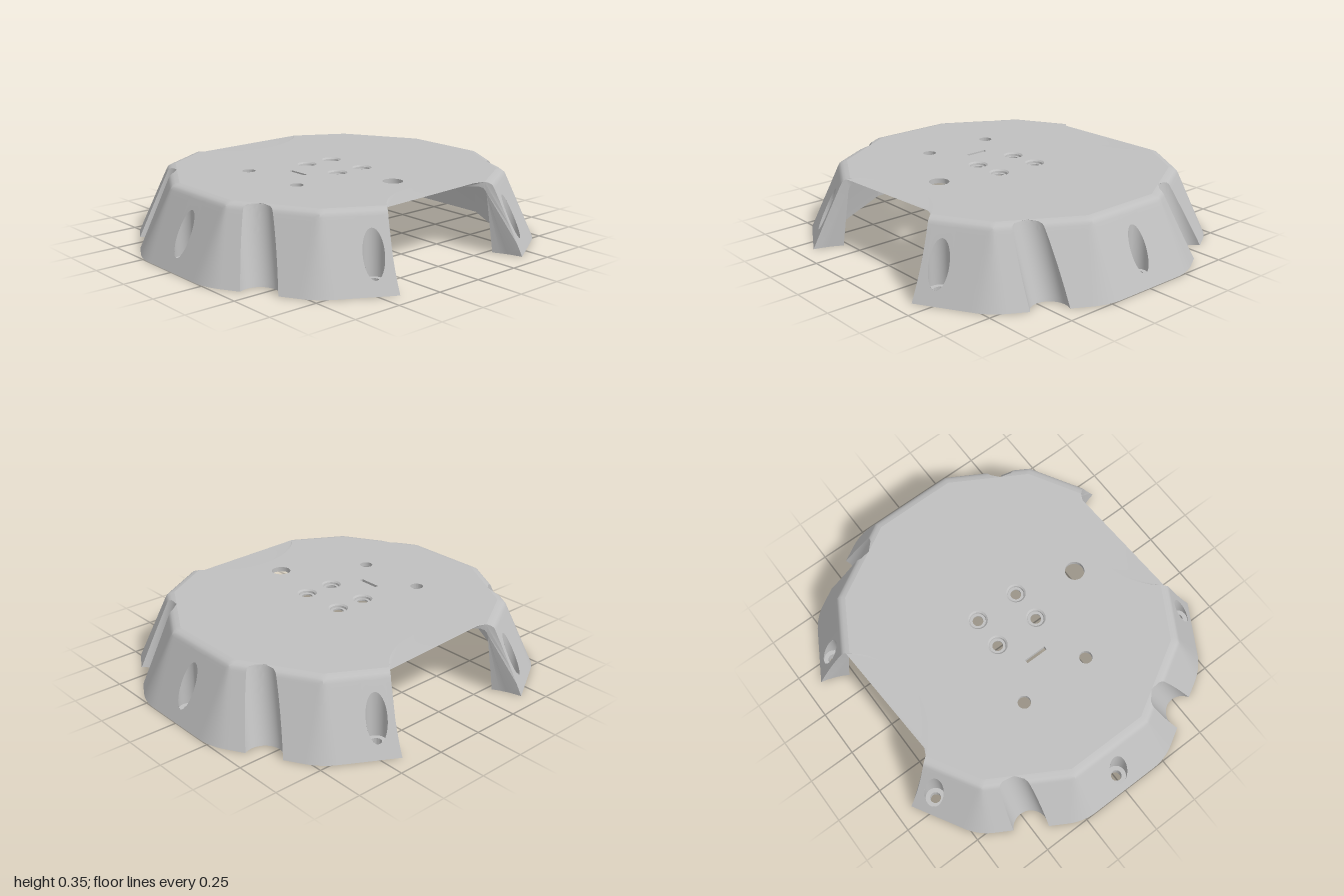
import * as THREE from 'three';
import { mergeGeometries, toCreasedNormals } from 'three/addons/utils/BufferGeometryUtils.js';

const DEG = Math.PI / 180, T15 = Math.tan(15 * DEG);
const TOP = 0.355, CEIL = 0.33, RIM = 0.325;      // plate top, cavity ceiling, fillet start
const SLOPE = (1 - 0.847) / RIM;                  // inward lean of the skirt
const CUT = 0.42;                                 // radius of the big end cut-outs, centred on z = +-1
const PANEL = 0.058;                              // half width of the flat strips round the screws
const SCREW = { r: 0.05, hole: 0.027, dist: 0.92, floor: 0.05 };

// Profiles: [height, apothem of the twelve-sided outline, corner radius]
const outer = [];
for (let i = 0; i <= 16; i++) outer.push([RIM * i / 16, 1 - SLOPE * RIM * i / 16]);
outer.push([0.338, 0.84], [0.345, 0.832], [0.351, 0.819], [TOP, 0.80]);
outer.forEach(p => p.push(0.3 * (1 - p[0] / TOP)));
const inner = [[0, 0.85, 0], [0.29, 0.812, 0], [0.31, 0.806, 0], [0.323, 0.795, 0], [CEIL, 0.775, 0]];

// Plan radius of a rounded dodecagon at an angle
function radius(t, [, a, rho]) {
  const d = Math.abs(t - Math.round(t / (30 * DEG)) * 30 * DEG);
  if (rho < 1e-4 || d <= Math.atan((a - rho) * T15 / a)) return a / Math.cos(d);
  const psi = 15 * DEG - d, D = (a - rho) / Math.cos(15 * DEG);
  return D * Math.cos(psi) + Math.sqrt(rho * rho - (D * Math.sin(psi)) ** 2);
}
const at = (t, r, y) => new THREE.Vector3(r * Math.cos(t), y, r * Math.sin(t));
const onWall = (t, p) => at(t, radius(t, p), p[0]);

function bisect(lo, hi, test) {                   // test holds at lo and fails at hi
  for (let i = 0; i < 40; i++) { const m = (lo + hi) / 2; if (test(m)) lo = m; else hi = m; }
  return lo;
}
// Angle at which the skirt meets an end cut-out
const endAngle = p => bisect(45 * DEG, 85 * DEG, t => {
  const v = onWall(t, p);
  return Math.hypot(v.x, v.z - 1) > CUT;
});

// Leaning scoop in the skirt: returns its edges and points at one height
function scoop(base, p) {
  const y = p[0], r = 0.09, d = 1 - 0.3 * y, c = base + 0.2 * y / d;
  const near = t => d * Math.cos(t - c) - Math.sqrt(Math.max(0, r * r - (d * Math.sin(t - c)) ** 2));
  const edge = s => c + s * bisect(0, Math.asin(r / d), h => near(c + s * h) < radius(c + s * h, p));
  const lo = edge(-1), hi = edge(1), pts = [onWall(lo, p)];
  for (let i = 0; i <= 20; i++) {
    const t = (lo + hi) / 2 - (hi - lo) / 2 * Math.cos(Math.PI * i / 20);
    pts.push(at(t, Math.min(near(t), radius(t, p)), y));
  }
  pts.push(onWall(hi, p));
  return { lo, hi, pts };
}

// Surface through rows of points
function grid(rows, flip = false) {
  const out = [], n = rows[0].length;
  const tri = (a, b, c) => {
    const area = b.clone().sub(a).cross(c.clone().sub(a)).length();
    if (area > 1e-9) for (const v of flip ? [a, c, b] : [a, b, c]) out.push(v.x, v.y, v.z);
  };
  for (let i = 0; i + 1 < rows.length; i++) for (let j = 0; j + 1 < n; j++) {
    tri(rows[i][j], rows[i + 1][j], rows[i][j + 1]);
    tri(rows[i][j + 1], rows[i + 1][j], rows[i + 1][j + 1]);
  }
  const g = new THREE.BufferGeometry();
  g.setAttribute('position', new THREE.Float32BufferAttribute(out, 3));
  return g;
}
const span = (lo, hi, p, n = 10) =>
  Array.from({ length: n + 1 }, (_, i) => onWall(lo + (hi - lo) * i / n, p));

// Pieces of one half of the skirt at one height, in angular order
function skirtPieces(p) {
  const e = endAngle(p), d = Math.atan(PANEL / p[1]);
  const a = scoop(-30 * DEG, p), b = scoop(30 * DEG, p), k = 60 * DEG, c = 45 * DEG, f = 15 * DEG;
  return [span(-e, -k - d, p), span(-k + d, -c, p), span(-c, a.lo, p), a.pts, span(a.hi, -f, p),
    span(-f, -d, p), span(d, f, p), span(f, b.lo, p), b.pts, span(b.hi, c, p), span(c, k - d, p), span(k + d, e, p)];
}

// Flat strip of skirt with the elliptical mouth of a screw pocket
function screwPanel(k) {
  const s = new THREE.Shape([[-PANEL, 0], [PANEL, 0], [PANEL, RIM], [-PANEL, RIM]].map(q => new THREE.Vector2(...q)));
  s.holes.push(new THREE.Path().absellipse(0, (1 - SCREW.dist) / SLOPE, SCREW.r, SCREW.r / SLOPE, 0, Math.PI * 2));
  const g = new THREE.ShapeGeometry(s, 20).toNonIndexed(), pos = g.attributes.position;
  for (let i = 0; i < pos.count; i++) {
    const l = -pos.getX(i), y = pos.getY(i), r = 1 - SLOPE * y;
    pos.setXYZ(i, r * Math.cos(k) - l * Math.sin(k), y, r * Math.sin(k) + l * Math.cos(k));
  }
  g.deleteAttribute('uv'); g.deleteAttribute('normal');
  return g;
}

// Counterbored screw pocket: wall, floor and through hole
function screwPocket(k) {
  const ring = (r, yOf) => Array.from({ length: 33 }, (_, i) => {
    const f = i / 32 * Math.PI * 2;
    return new THREE.Vector3(SCREW.dist + r * Math.cos(f), yOf(f), r * Math.sin(f));
  });
  const low = () => SCREW.floor;
  return grid([ring(SCREW.hole, () => 0), ring(SCREW.hole, low), ring(SCREW.r, low),
    ring(SCREW.r, f => (1 - SCREW.dist - SCREW.r * Math.cos(f)) / SLOPE)], true).rotateY(-k);
}

// Horizontal face from plan points [x, z]
function flat(outline, holes, y, up) {
  const s = up ? -1 : 1, v = q => new THREE.Vector2(q[0], s * q[1]);
  const shape = new THREE.Shape(outline.map(v));
  holes.forEach(h => shape.holes.push(new THREE.Path(h.map(v))));
  return new THREE.ShapeGeometry(shape).rotateX(s * Math.PI / 2).translate(0, y, 0);
}
const circle = (x, z, r) => Array.from({ length: 32 }, (_, i) =>
  [x + r * Math.cos(i / 16 * Math.PI), z + r * Math.sin(i / 16 * Math.PI)]);
const cutAngle = p => { const v = onWall(endAngle(p), p); return Math.atan2(v.x, 1 - v.z); };
const arc = (f0, f1, n) => Array.from({ length: n + 1 }, (_, i) => f0 + (f1 - f0) * i / n);
const onCut = f => [CUT * Math.sin(f), 1 - CUT * Math.cos(f)];

// Outline of the plate at the last height of a profile
function plateOutline(p) {
  const e = endAngle(p), f = cutAngle(p);
  const half = [-e, ...[-45, -15, 15, 45].map(a => a * DEG)].map(t => onWall(t, p)).map(v => [v.x, v.z]);
  half.push(...arc(f, -f, 32).slice(0, -1).map(onCut));
  return [...half, ...half.map(([x, z]) => [-x, -z])];
}

// Curved face of an end cut-out, drawn unrolled then wrapped
function cutFace() {
  const side = prof => prof.map(p => [cutAngle(p), p[0]]);
  const mirror = a => a.map(([f, y]) => [-f, y]).reverse();
  const o = side(outer), n = side(inner), fo = o.at(-1)[0], fi = n.at(-1)[0];
  const foot = arc(o[0][0], n[0][0], 4).slice(1, -1).map(f => [f, 0]);
  const pts = [...o, ...arc(fo, -fo, 32).slice(1, -1).map(f => [f, TOP]), ...mirror(o),
    ...foot.map(([f]) => [-f, 0]), ...mirror(n).reverse(),
    ...arc(-fi, fi, 32).slice(1, -1).map(f => [f, CEIL]), ...[...n].reverse(), ...foot.reverse()];
  const g = new THREE.ShapeGeometry(new THREE.Shape(pts.map(q => new THREE.Vector2(...q)))).toNonIndexed();
  const pos = g.attributes.position;
  for (let i = 0; i < pos.count; i++) {
    const [x, z] = onCut(pos.getX(i));
    pos.setXYZ(i, x, pos.getY(i), z);
  }
  return g;
}

export function createModel() {
  const model = new THREE.Group();
  const grey = new THREE.MeshStandardMaterial({ color: 0xbfbfbf, side: THREE.DoubleSide });
  grey.name = 'light grey';
  const add = (name, geo, turn = 0) => {
    const m = new THREE.Mesh(toCreasedNormals(geo, 0.4), grey);
    m.name = name; m.rotation.y = turn;
    model.add(m);
  };

  // Skirt, screw pockets, cavity wall and foot, repeated by a half turn
  const rows = outer.map(skirtPieces);
  const parts = rows[0].map((_, j) => grid(rows.map(r => r[j])));
  const screws = [-60 * DEG, 0, 60 * DEG];
  for (const k of screws) {
    parts.push(grid(outer.slice(16).map(p => {
      const d = Math.atan(PANEL / p[1]);
      return span(k - d, k + d, p, 4);
    })));
    const panel = screwPanel(k);
    parts.push(panel);
  }
  const skirt = mergeGeometries(parts);
  const cavity = grid(inner.map(p => {
    const e = endAngle(p), a = [-e, ...[-45, -15, 15, 45].map(t => t * DEG), e];
    return a.map(t => onWall(t, p));
  }), true);
  const pockets = mergeGeometries(screws.map(screwPocket));
  const fo = cutAngle(outer[0]), fi = cutAngle(inner[0]);
  const foot = arc(fo, fi, 4).slice(1, -1).map(onCut);
  const inEdge = [-endAngle(inner[0]), ...[-45, -15, 15, 45].map(t => t * DEG), endAngle(inner[0])]
    .map(t => onWall(t, inner[0])).map(v => [v.x, v.z]);
  const outEdge = rows[0].flat().map(v => [v.x, v.z])
    .filter((q, i, a) => !i || Math.hypot(q[0] - a[i - 1][0], q[1] - a[i - 1][1]) > 1e-5);
  const footFace = flat([...outEdge, ...foot, ...inEdge.reverse(), ...foot.map(([x, z]) => [x, -z]).reverse()],
    screws.map(k => circle(SCREW.dist * Math.cos(k), SCREW.dist * Math.sin(k), SCREW.hole)), 0, false);
  const face = cutFace();
  for (const turn of [0, Math.PI]) {
    add('skirt', skirt, turn);
    add('cavityWall', cavity, turn);
    add('screwPockets', pockets, turn);
    add('foot', footFace, turn);
    add('endCutout', face, turn);
  }

  // Top plate with its holes
  const bolts = [[-0.083, -0.12], [0.083, -0.12], [-0.083, 0.12], [0.083, 0.12]];
  const plain = [[-0.4, -0.195, 0.033], [-0.4, 0.19, 0.033], [0, 0.435, 0.05]].map(h => circle(...h));
  plain.push([[-0.25, -0.06], [-0.23, -0.06], [-0.23, 0.06], [-0.25, 0.06]]);
  const boltHoles = r => bolts.map(([x, z]) => circle(x, z, r));
  add('topPlate', flat(plateOutline(outer.at(-1)), [...plain, ...boltHoles(0.05)], TOP, true));
  add('ceiling', flat(plateOutline(inner.at(-1)), [...plain, ...boltHoles(0.027)], CEIL, false));
  for (const h of plain) {
    const loop = y => [...h, h[0]].map(([x, z]) => new THREE.Vector3(x, y, z));
    add('plateHole', grid([loop(CEIL), loop(TOP)], true));
  }
  for (const [x, z] of bolts) {
    const ring = ([r, y]) => [...circle(x, z, r), [x + r, z]].map(q => new THREE.Vector3(q[0], y, q[1]));
    const profile = [[0.027, CEIL], [0.027, 0.338], [0.04, 0.338], [0.042, 0.348], [0.05, TOP]];
    add('boltCounterbore', grid(profile.map(ring), true));
  }
  return model;
}
